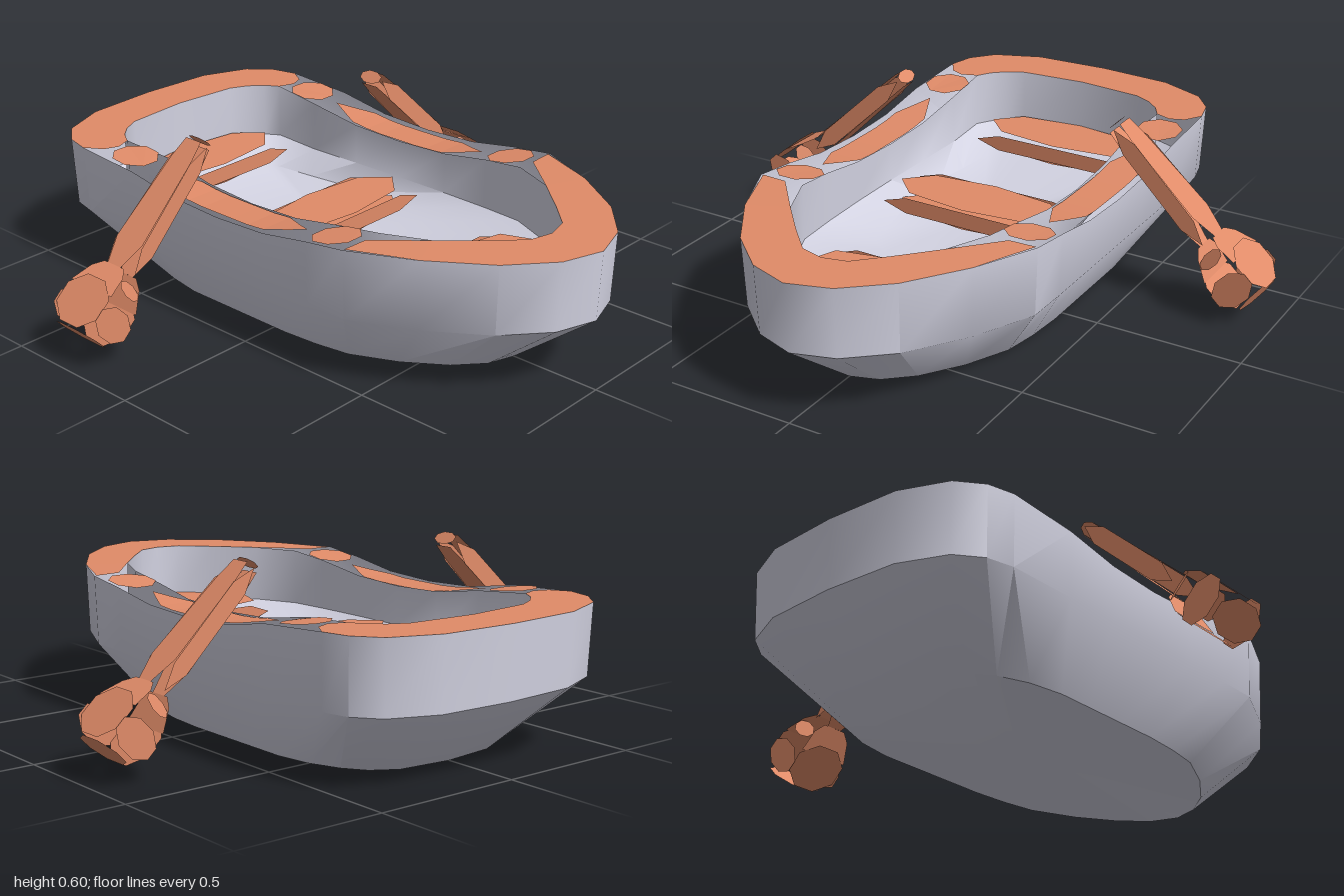
import * as THREE from 'three';
import { toCreasedNormals } from 'three/addons/utils/BufferGeometryUtils.js';

const hullGrey = new THREE.MeshStandardMaterial({ color: 0xd2d2e1, side: THREE.DoubleSide });
hullGrey.name = 'hull grey';
const woodOrange = new THREE.MeshStandardMaterial({ color: 0xe08b68, side: THREE.DoubleSide });
woodOrange.name = 'wood orange';

// Half outlines (x, z) from stern to bow, all with the same number of points
const BOTTOM = [[0, -.74], [.18, -.72], [.26, -.67], [.31, -.6], [.35, -.5], [.37, -.38], [.37, -.25], [.37, -.1], [.37, .05], [.36, .18], [.34, .3], [.27, .45], [.18, .58], [.09, .66], [0, .69]];
const OUTER = [[0, -1], [.26, -.985], [.42, -.92], [.485, -.84], [.507, -.75], [.51, -.5], [.51, -.3], [.51, -.1], [.51, .1], [.51, .28], [.507, .43], [.41, .64], [.28, .83], [.14, .95], [0, .995]];
const INNER = [[0, -.83], [.23, -.81], [.29, -.78], [.335, -.74], [.365, -.69], [.35, -.5], [.355, -.3], [.36, -.1], [.36, .1], [.355, .28], [.345, .43], [.28, .58], [.17, .7], [.08, .79], [0, .81]];
const FLOOR = [[0, -.63], [.15, -.63], [.22, -.63], [.25, -.62], [.265, -.6], [.28, -.45], [.295, -.32], [.31, -.2], [.275, -.04], [.245, .1], [.22, .21], [.16, .25], [.1, .295], [.05, .33], [0, .36]];

// Height of the rim, dipping amidships
const rimY = z => .405 + .057 * THREE.MathUtils.smoothstep(Math.abs(z + .1), .08, .57);

// Full closed loop from a half outline
function ring(half, y, sx = 1, sz = 1) {
  const right = half.map(([x, z]) => [x * sx, typeof y === 'function' ? y(z) : y, z * sz]);
  const left = right.slice(1, -1).reverse().map(([x, h, z]) => [-x, h, z]);
  return [...right, ...left];
}

// Skin through a stack of loops, closed at the first loop by a fan
function shell(name, rings, crease) {
  const n = rings[0].length, index = [];
  const points = rings.flat();
  const centre = points.push([0, rings[0][0][1], -.1]) - 1;
  for (let i = 0; i < n; i++) {
    const j = (i + 1) % n;
    index.push(centre, i, j);
    for (let r = 0; r < rings.length - 1; r++) {
      const a = r * n + i, b = r * n + j;
      index.push(a, a + n, b, b, a + n, b + n);
    }
  }
  const g = new THREE.BufferGeometry();
  g.setAttribute('position', new THREE.Float32BufferAttribute(points.flat(), 3));
  g.setIndex(index);
  const mesh = new THREE.Mesh(toCreasedNormals(g, crease), hullGrey);
  mesh.name = name;
  return mesh;
}

function wood(name, positions) {
  const g = new THREE.BufferGeometry();
  g.setAttribute('position', new THREE.Float32BufferAttribute(positions, 3));
  g.computeVertexNormals();
  const mesh = new THREE.Mesh(g, woodOrange);
  mesh.name = name;
  return mesh;
}

// Thin wooden panel from a convex outline
function panel(name, pts) {
  const tris = [];
  for (let i = 1; i < pts.length - 1; i++) tris.push(...pts[0], ...pts[i], ...pts[i + 1]);
  return wood(name, tris);
}

// Thin wooden strip lying on the rim, from [outer, inner] pairs of (x, z)
function rimCover(name, pairs, side) {
  const at = ([x, z]) => [x * side, rimY(z), z];
  const tris = [];
  for (let i = 0; i < pairs.length - 1; i++) {
    const [a, c] = pairs[i].map(at), [b, d] = pairs[i + 1].map(at);
    const quad = side > 0 ? [a, c, b, b, c, d] : [a, b, c, b, d, c];
    tris.push(...quad.flat());
  }
  return wood(name, tris);
}

const pairsBetween = (from, to) => OUTER.slice(from, to).map((p, i) => [p, INNER[from + i]]);
const STERN_COVER = [...pairsBetween(0, 5), [[.47, -.69], [.42, -.67]]];
const BOW_COVER = [[[.5, .428], [.41, .432]], ...pairsBetween(11, 15)];

// Pointed strip amidships, sliced so that it follows the dip
const SIDE_STRIP = Array.from({ length: 11 }, (_, i) => {
  const z = -.46 + .067 * i, w = .06 * Math.min(1, i / 2, (10 - i) / 2);
  return [[.425 + w, z], [.425 - w, z]];
});

// Eight-sided oval, as [u, v] pairs
function oval(cu, cv, ru, rv) {
  return Array.from({ length: 8 }, (_, i) => {
    const t = (i + .5) * Math.PI / 4;
    return [cu + ru * Math.cos(t) * 1.06, cv + rv * Math.sin(t) * 1.06];
  });
}

// Long leaf with pointed ends
const leaf = (u0, u1, r, tip) => [[u0, 0], [u0 + tip, r], [u1 - tip, r], [u1, 0], [u1 - tip, -r], [u0 + tip, -r]];

function seat(name, z, y) {
  const g = new THREE.Group();
  g.name = name;
  const outline = [[.31, 0], [.225, -.085], [0, -.112], [-.225, -.085], [-.31, 0], [-.225, .085], [0, .112], [.225, .085]];
  g.add(panel('seatTop', outline.map(([x, d]) => [x, y, z + d])));
  g.add(panel('seatUnderside', outline.map(([x, d]) => [x, y - .07, z - d])));
  for (const s of [-1, 1]) {
    g.add(panel('seatEdge', leaf(-.31, .31, .028, .09).map(([x, v]) => [x, y - .035 + v, z + s * .115])));
  }
  return g;
}

function bowSeat(y) {
  const g = new THREE.Group();
  g.name = 'bowSeat';
  const outline = [[0, .43], [-.19, .475], [-.23, .58], [-.165, .695], [-.08, .785], [0, .805], [.08, .785], [.165, .695], [.23, .58], [.19, .475]];
  g.add(panel('seatTop', outline.map(([x, z]) => [x, y, z])));
  g.add(panel('seatEdge', leaf(-.22, .22, .028, .08).map(([x, v]) => [x, y - .035 + v, .43])));
  return g;
}

// Oar built of panels; s runs along it, u is its upper normal, w is across
function oar(side) {
  const g = new THREE.Group();
  g.name = side > 0 ? 'leftOar' : 'rightOar';
  const at = (s, u, w) => [side * (.417 + s * .73 + u * .684), .577 - s * .684 + u * .73, -.28 + w];
  const shaftW = s => .045 + .045 * s;
  for (const k of [-1, 1]) {
    // Upper and lower faces
    g.add(panel('shaftFace', [[0, .034], [.07, .045], [.38, .06], [.47, .03], [.47, -.03], [.38, -.06], [.07, -.045], [0, -.034]]
      .map(([s, w]) => at(s, k * (.025 + .02 * s), k * w))));
    g.add(panel('collarFace', [[.47, .045], [.5, .075], [.57, .095], [.57, -.095], [.5, -.075], [.47, -.045]]
      .map(([s, w]) => at(s, k * (.035 + (s - .47) * .33), k * w))));
    g.add(panel('bladeFace', oval(.617, 0, .085, .1).map(([s, w]) => at(s, k * .07, k * w))));
    // Front and back faces
    g.add(panel('shaftSide', leaf(0, .47, .03, .08).map(([s, u]) => at(s, u, k * shaftW(s)))));
    g.add(panel('collarSide', oval(.52, 0, .022, .048).map(([s, u]) => at(s, u, k * (.085 + (s - .523) * .8)))));
    g.add(panel('bladeSide', oval(.637, 0, .052, .078).map(([s, u]) => at(s, u, k * .1))));
  }
  // End caps
  g.add(panel('shaftCap', oval(0, 0, .024, .045).map(([u, w]) => at(-.012, u, w))));
  g.add(panel('bladeCap', oval(0, 0, .06, .1).map(([u, w]) => at(.705, u, w))));
  return g;
}

export function createModel() {
  const boat = new THREE.Group();
  boat.name = 'rowingBoat';
  // Outer hull, and the shallow well set inside it with an open gap along the rim
  boat.add(shell('hull', [ring(BOTTOM, 0), ring(OUTER, .23, .985, .99), ring(OUTER, rimY)], .75));
  boat.add(shell('well', [ring(FLOOR, .2), ring(INNER, .27), ring(INNER, rimY)].map(r => r.reverse()), .75));
  boat.add(seat('sternSeat', -.715, .29), seat('middleSeat', -.09, .29), bowSeat(.29));
  for (const side of [-1, 1]) {
    boat.add(rimCover('sternRim', STERN_COVER, side), rimCover('bowRim', BOW_COVER, side));
    boat.add(rimCover('rimStrip', SIDE_STRIP, side));
    // Round pads on the rim
    for (const z of [-.58, .33]) {
      boat.add(panel('rimPad', oval(z, .425, .075, .075).map(([pz, x]) => [side * x, rimY(pz), pz])));
    }
    boat.add(oar(side));
  }
  return boat;
}
